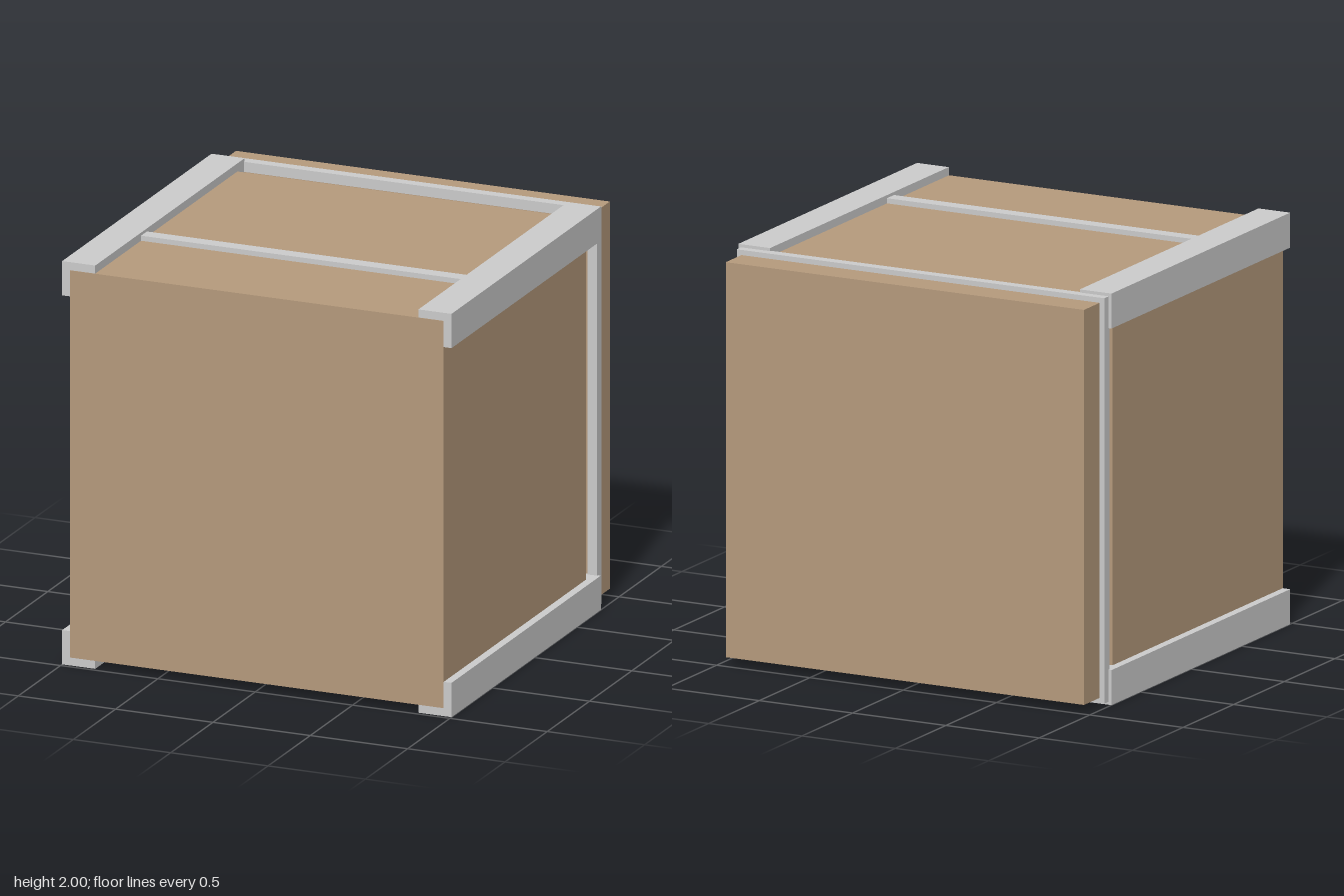
import * as THREE from 'three';

const grey = new THREE.MeshStandardMaterial({ color: 0xcccccc });
const brown = new THREE.MeshStandardMaterial({ color: 0xb59a7c });

export function createModel() {
  const model = new THREE.Group();

  // Box given by its min and max on each axis
  const box = (name, material, [x0, x1], [y0, y1], [z0, z1]) => {
    const mesh = new THREE.Mesh(new THREE.BoxGeometry(x1 - x0, y1 - y0, z1 - z0), material);
    mesh.position.set((x0 + x1) / 2, (y0 + y1) / 2, (z0 + z1) / 2);
    mesh.name = name;
    model.add(mesh);
  };
  // Range from a to b on the side given by s, about a centre
  const side = (s, a, b, centre = 0) => (s > 0 ? [centre + a, centre + b] : [centre - b, centre - a]);

  // Main body and separate back panel
  box('body', brown, [-0.96, 0.96], [0.04, 1.96], [-0.7, 0.983]);
  box('backPanel', brown, [-0.96, 0.96], [0.04, 1.96], [-0.983, -0.825]);

  for (const sy of [1, -1]) {
    // Corner rails running front to back
    for (const sx of [1, -1]) {
      box('cornerRail', grey, side(sx, 0.83, 1), side(sy, 0.83, 1, 1), [-0.785, 0.981]);
    }
    // Cross bars on top and bottom
    box('crossBar', grey, [-0.83, 0.83], side(sy, 0.92, 0.985, 1), [0.37, 0.44]);
    // Horizontal bars of the back frame
    box('backFrameBar', grey, [-0.985, 0.985], side(sy, 0.935, 0.985, 1), [-0.828, -0.776]);
  }

  // Vertical bars of the back frame
  for (const sx of [1, -1]) {
    box('backFramePost', grey, side(sx, 0.935, 0.985), [0.065, 1.935], [-0.828, -0.776]);
  }
  return model;
}
